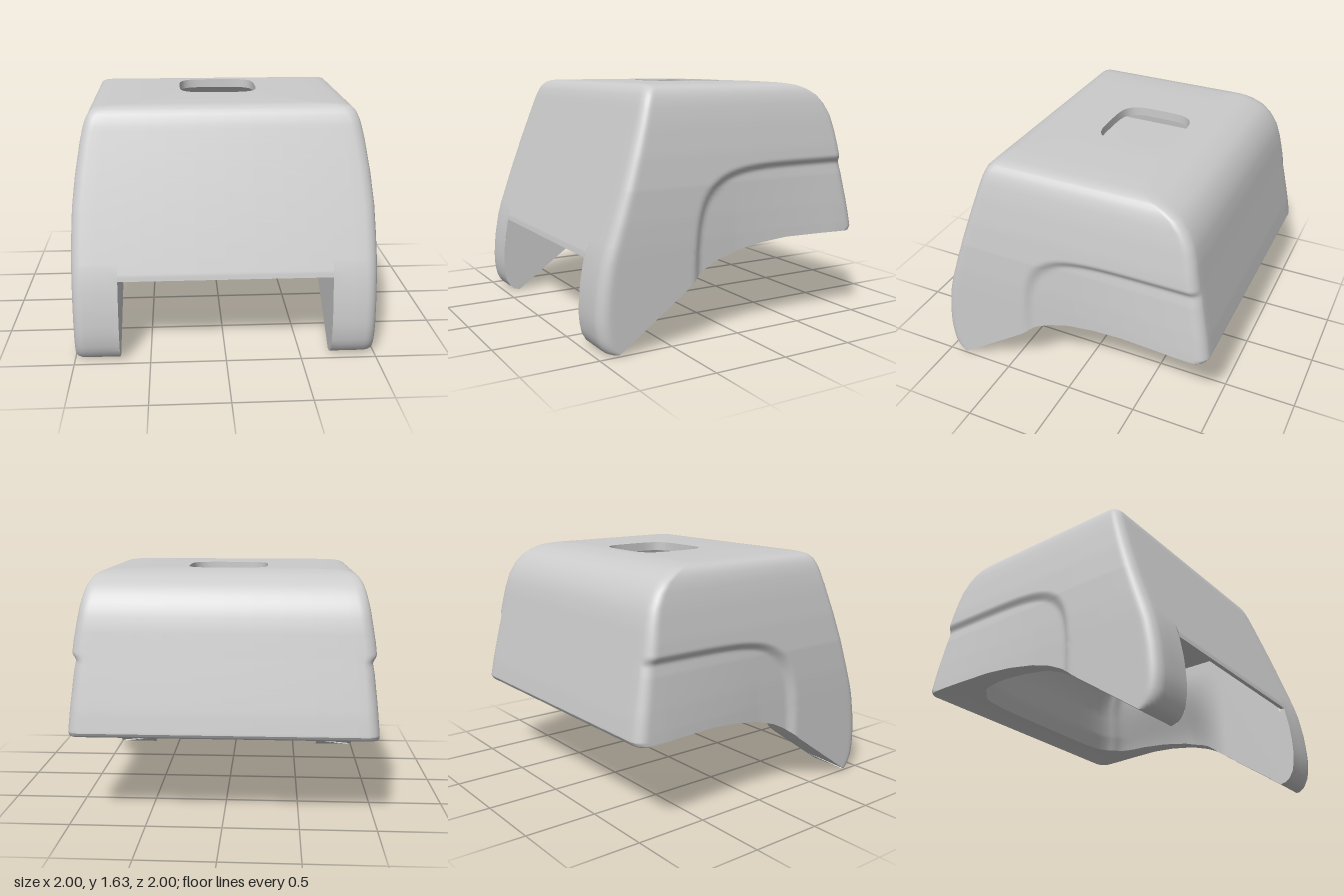
import * as THREE from 'three';
import { toCreasedNormals } from 'three/addons/utils/BufferGeometryUtils.js';

// Piecewise-linear lookup in a list of [key, value] pairs (ascending keys)
function curve(pts) {
  return (k) => {
    if (k <= pts[0][0]) return pts[0][1];
    for (let i = 1; i < pts.length; i++) {
      const [k0, v0] = pts[i - 1], [k1, v1] = pts[i];
      if (k <= k1) return v0 + (v1 - v0) * (k - k0) / (k1 - k0);
    }
    return pts[pts.length - 1][1];
  };
}
const smooth = THREE.MathUtils.smoothstep;
const lerp = THREE.MathUtils.lerp;

// Outer shape by height: half width, front z and back z
const halfWidth = curve([[0.66, 1], [0.8, 0.997], [1, 0.988], [1.2, 0.965], [1.4, 0.932], [1.5, 0.91], [1.55, 0.893], [1.58, 0.877], [1.6, 0.86], [1.61, 0.845], [1.62, 0.81], [1.625, 0.77], [1.63, 0.6]]);
const frontZ = curve([[0, 0.88], [0.008, 0.92], [0.03, 0.95], [0.08, 0.98], [0.14, 0.993], [0.2, 1], [0.3, 0.997], [0.42, 0.985], [0.6, 0.952], [1.53, 0.635], [1.58, 0.61], [1.61, 0.58], [1.625, 0.55], [1.63, 0.5]]);
const backZ = curve([[0.58, -0.96], [0.595, -0.985], [0.62, -1], [0.75, -0.978], [1.1, -0.905], [1.3, -0.865], [1.4, -0.835], [1.48, -0.79], [1.54, -0.735], [1.59, -0.65], [1.61, -0.58], [1.62, -0.52], [1.63, -0.44]]);
// Cavity shape by height
const cavityFront = curve([[0, 0.88], [0.4, 0.9], [0.57, 0.93], [1.13, 0.6]]);
const cavityBack = curve([[0.58, -0.76], [0.7, -0.71], [0.9, -0.66], [1.05, -0.59], [1.13, -0.5]]);
// Height of the lower rim along the sides
const sideRim = curve([[-1, 0.59], [-0.7, 0.597], [-0.4, 0.6], [-0.2, 0.583], [0, 0.548], [0.15, 0.5], [0.25, 0.45], [0.32, 0.4], [0.38, 0.352], [0.88, 0]]);
const NOTCH_X = 0.7, NOTCH_Y = 0.565;

// Columns around the plan as a rounded square in -1..1
function makeColumns() {
  const half = [], r = 0.08;
  const add = (x, z, notch = false) => half.push({ x, z, notch });
  for (const x of [0, 0.2, 0.4, 0.55, 0.66, NOTCH_X]) add(x, 1, true);
  for (const x of [NOTCH_X, 0.76, 0.84]) add(x, 1);
  const corner = (from, zSign) => {
    for (let i = 0; i <= 7; i++) {
      const a = from - (i / 7) * Math.PI / 2;
      add(1 - r + r * Math.cos(a), zSign * (1 - r) + r * Math.sin(a));
    }
  };
  corner(Math.PI / 2, 1);
  for (let i = 1; i < 80; i++) add(1, lerp(1 - r, r - 1, i / 80));
  corner(0, -1);
  for (const x of [0.85, 0.75, 0.6, 0.4, 0.2, 0]) add(x, -1);
  const mirrored = half.slice(1, -1).reverse().map((c) => ({ ...c, x: -c.x }));
  return [...half, ...mirrored];
}

// Outer skin, with a shallow recessed panel on the rear of each side
function outerPoint(c, y) {
  const z = lerp(backZ(y), frontZ(y), (c.z + 1) / 2);
  const a = Math.max(0, (z + 0.9) / 1.24), b = Math.max(0, y / 1.125);
  const mask = 1 - smooth((a ** 6 + b ** 6) ** (1 / 6), 0.945, 1);
  const fade = 1 - Math.max(0, (1.1 - y) / 0.5) * Math.min(1, Math.max(0, -z / 0.8));
  const dent = 0.033 * mask * Math.max(0, fade) * smooth(Math.abs(c.x), 0.85, 1);
  return [c.x * halfWidth(y) - Math.sign(c.x) * dent, y, z];
}

// Cavity skin: flat cheeks at the front that flare outward toward the rear rim
function innerPoint(c, y) {
  const zf = cavityFront(y), zb = cavityBack(y);
  if (c.notch) return [c.x, y, zf];
  const ax = Math.abs(c.x);
  const s = Math.max(-1, c.z - 0.3 * Math.max(0, ax - NOTCH_X) * (c.z + 1) / 2);
  const round = s < 0 ? 1 - 0.13 * (ax * s) ** 6 : 1;
  const z = lerp(zb, zf, (s * round + 1) / 2);
  const flare = 0.17 * (1 - smooth(z, 0.05, 0.45)) * (1 - smooth(y, 0.45, 1.05));
  return [Math.sign(c.x) * (NOTCH_X + flare) * (c.z >= 0 ? 1 : ax * round), y, z];
}

// Rim height where a column's skin meets the rim curve
function rimHeight(c, point) {
  if (c.notch) return NOTCH_Y;
  let y = 0.4;
  for (let i = 0; i < 30; i++) y = lerp(y, sideRim(point(c, y)[2]), 0.6);
  return c.z === 1 && point === outerPoint ? 0 : y;
}

// Rounded opening in the top
function holePoint(c, y) {
  const a = Math.atan2(c.z, c.x), cs = Math.cos(a), sn = Math.sin(a);
  const k = (cs ** 4 + sn ** 4) ** -0.25;
  return [0.275 * k * cs, y, -0.135 + 0.265 * k * sn];
}

// Closed chamber under the opening, following the outer skin
function chamberPoint(c, y) {
  const [x, , z] = outerPoint(c, y + 0.04);
  return [x * 0.93, y, z * 0.92];
}

// One column: chamber, opening, top, outside, rim, cavity, ceiling
function columnPoints(c) {
  const p = [[0, 1.23, -0.2]];
  for (const y of [1.2, 1.3, 1.4, 1.48, 1.53, 1.56]) p.push(chamberPoint(c, y));
  p.push(holePoint(c, 1.57), holePoint(c, 1.63));
  const split = 0.66, innerSplit = 0.72;
  for (const y of [1.63, 1.625, 1.62, 1.61, 1.6, 1.58, 1.56, 1.54, 1.51, 1.48, 1.44, 1.4, 1.35, 1.3, 1.25, 1.2, 1.17]) p.push(outerPoint(c, y));
  for (let y = 1.15; y > split + 0.01; y -= y > 0.98 ? 0.0125 : 0.03) p.push(outerPoint(c, y));
  const ro = rimHeight(c, outerPoint), ri = rimHeight(c, innerPoint);
  for (let i = 0; i <= 14; i++) p.push(outerPoint(c, lerp(ro, split, (1 - i / 14) ** 2)));
  for (let i = 0; i <= 8; i++) p.push(innerPoint(c, lerp(ri, innerSplit, i / 8)));
  for (const y of [0.78, 0.84, 0.9, 0.96, 1.02, 1.06, 1.1, 1.13]) p.push(innerPoint(c, y));
  p.push([0, 1.16, 0]);
  return p;
}

// Triangles from a list of quads, dropping collapsed ones
function meshFromQuads(name, quads, side) {
  const pos = [], t = new THREE.Triangle();
  for (const [a, b, c, d] of quads) {
    for (const tri of [[a, b, c], [a, c, d]]) {
      t.set(...tri.map((v) => new THREE.Vector3(...v)));
      if (t.getArea() > 1e-8) pos.push(...tri.flat());
    }
  }
  const g = new THREE.BufferGeometry();
  g.setAttribute('position', new THREE.Float32BufferAttribute(pos, 3));
  const mesh = new THREE.Mesh(toCreasedNormals(g, 0.6), new THREE.MeshStandardMaterial({ color: 0xcccccc, side }));
  mesh.name = name;
  return mesh;
}

export function createModel() {
  const group = new THREE.Group();
  group.name = 'hoodedCover';

  // Shell skinned between neighbouring columns
  const cols = makeColumns(), pts = cols.map(columnPoints), quads = [];
  cols.forEach((c, j) => {
    const k = (j + 1) % cols.length;
    if (c.notch !== cols[k].notch) return; // step at the leg, closed by the cheeks
    for (let i = 0; i < pts[j].length - 1; i++) quads.push([pts[j][i], pts[j][i + 1], pts[k][i + 1], pts[k][i]]);
  });
  group.add(meshFromQuads('shell', quads, THREE.FrontSide));

  // Inner faces of the two front legs beside the notch
  for (const s of [1, -1]) {
    const strip = [], x = s * NOTCH_X;
    for (let i = 0; i < 16; i++) {
      const y0 = NOTCH_Y * (i / 16) ** 2, y1 = NOTCH_Y * ((i + 1) / 16) ** 2;
      const q = [[x, y0, cavityFront(y0)], [x, y0, frontZ(y0)], [x, y1, frontZ(y1)], [x, y1, cavityFront(y1)]];
      strip.push(s > 0 ? q.reverse() : q);
    }
    group.add(meshFromQuads(s > 0 ? 'leftLegCheek' : 'rightLegCheek', strip, THREE.DoubleSide));
  }
  return group;
}
